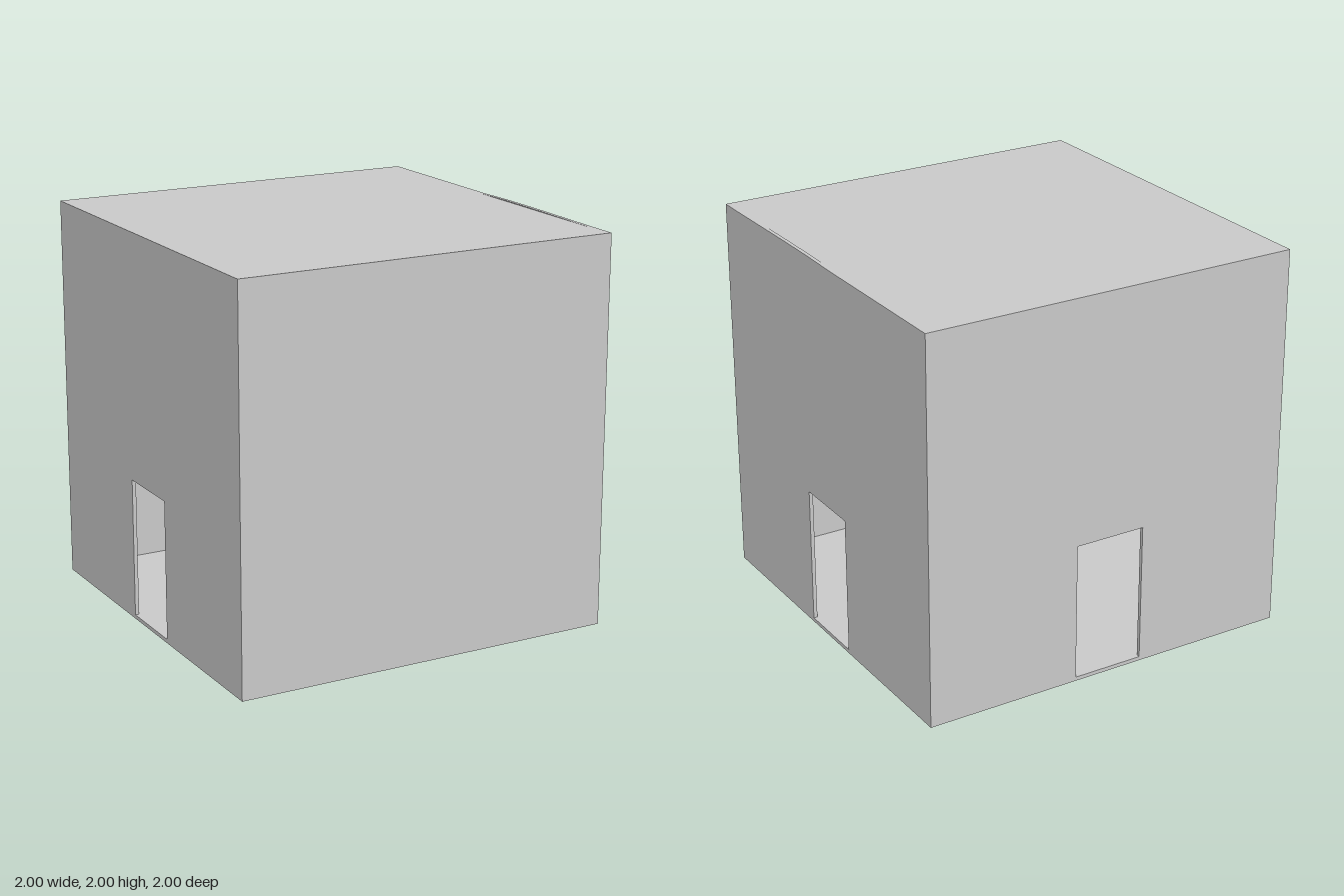
import * as THREE from 'three';

const T = 0.02; // panel thickness
const DOOR = { half: 0.187, bottom: 0.02, top: 0.735 };

export function createModel() {
  const group = new THREE.Group();
  const material = new THREE.MeshStandardMaterial({ color: 0xcccccc, flatShading: true });

  const add = (name, geometry) => {
    const mesh = new THREE.Mesh(geometry, material);
    mesh.name = name;
    group.add(mesh);
    return mesh;
  };

  const polygon = (points, Type = THREE.Shape) => new Type(points.map(([x, y]) => new THREE.Vector2(x, y)));

  // Upright panel on the outer face of the cube, turned about y, optionally with a doorway
  const wall = (name, half, angle, hasDoor) => {
    const shape = polygon([[-half, 0], [half, 0], [half, 2], [-half, 2]]);
    if (hasDoor) {
      const { half: d, bottom, top } = DOOR;
      shape.holes.push(polygon([[-d, bottom], [-d, top], [d, top], [d, bottom]], THREE.Path));
    }
    const geometry = new THREE.ExtrudeGeometry(shape, { depth: T, bevelEnabled: false });
    geometry.translate(0, 0, 1 - T);
    add(name, geometry).rotation.y = angle;
  };

  wall('frontWall', 1, 0, false);
  wall('backWall', 1, Math.PI, true);
  wall('leftWall', 1 - T, Math.PI / 2, true);
  wall('rightWall', 1 - T, -Math.PI / 2, true);

  // Floor and roof slabs fitted between the walls
  const inner = 2 - 2 * T;
  for (const [name, y] of [['floor', T / 2], ['roof', 2 - T / 2]]) {
    add(name, new THREE.BoxGeometry(inner, T, inner)).position.y = y;
  }

  // Very shallow rise along the top of the left wall
  const rise = polygon([[-0.86, 0], [0.12, 0], [-0.11, 0.004], [-0.35, 0.004]]);
  const ridge = new THREE.ExtrudeGeometry(rise, { depth: T, bevelEnabled: false });
  ridge.translate(0, 2, 1 - T);
  add('wallTopRise', ridge).rotation.y = Math.PI / 2;

  return group;
}
